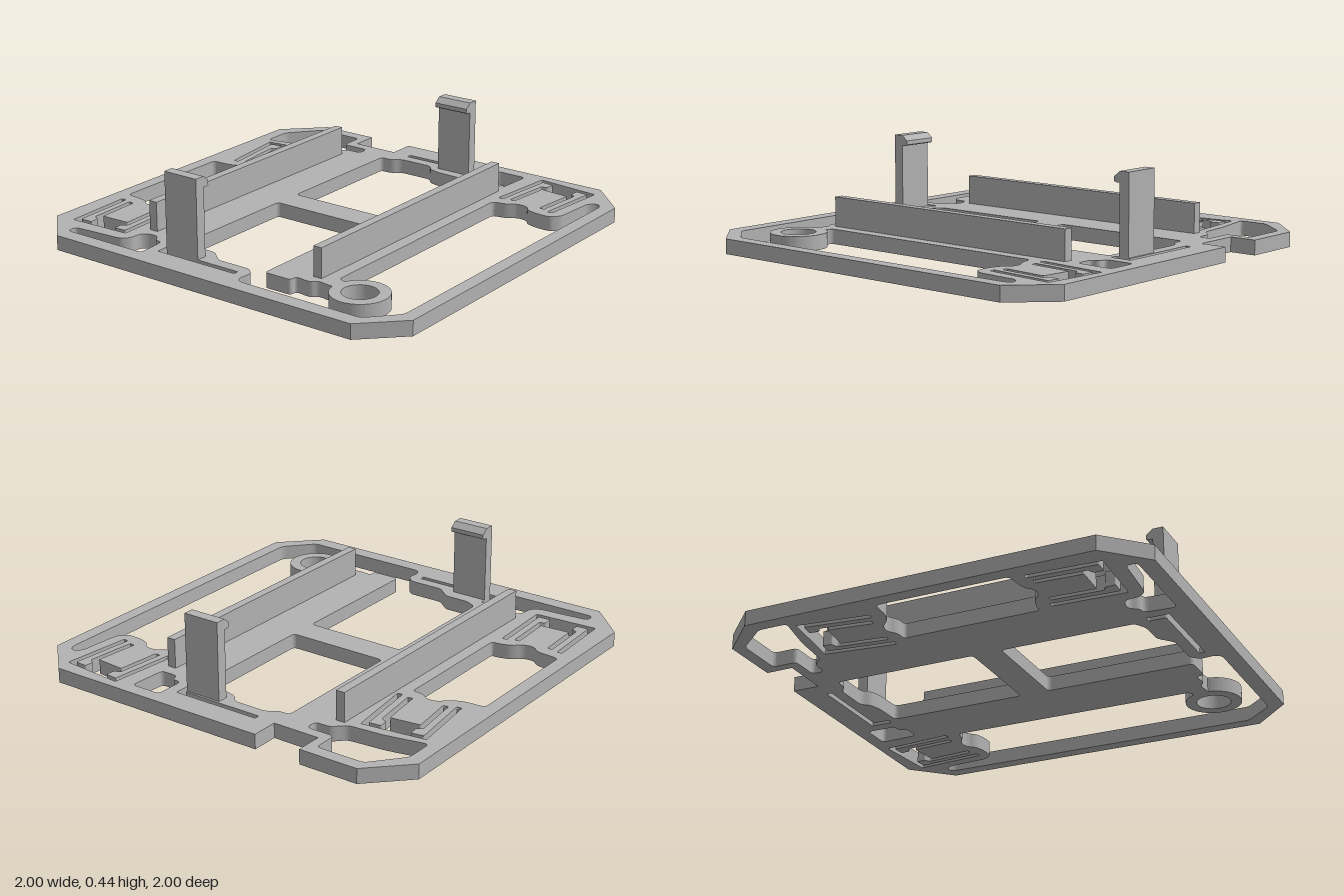
import * as THREE from 'three';

const T = 0.07; // plate thickness
const plastic = new THREE.MeshStandardMaterial({ color: 0xb2b2b2 });
plastic.name = 'grey plastic';

// Closed path with rounded corners; points are [x, z] in hundredths of a unit
function trace(points, radius, path = new THREE.Path()) {
  const p = points.map(([x, z]) => new THREE.Vector2(x / 100, z / 100));
  p.forEach((c, i) => {
    const toward = (q) => {
      const d = q.clone().sub(c);
      const len = d.length();
      return c.clone().addScaledVector(d, Math.min(radius, len * 0.45) / len);
    };
    const a = toward(p[(i + p.length - 1) % p.length]);
    const b = toward(p[(i + 1) % p.length]);
    if (i === 0) path.moveTo(a.x, a.y);
    else path.lineTo(a.x, a.y);
    if (radius > 0) path.quadraticCurveTo(c.x, c.y, b.x, b.y);
  });
  path.closePath();
  return path;
}

// Shape drawn in x/z, extruded to lie flat on the ground
function flat(shape, name, curveSegments = 4) {
  const g = new THREE.ExtrudeGeometry(shape, { depth: T, bevelEnabled: false, curveSegments });
  g.rotateX(Math.PI / 2).translate(0, T, 0);
  const mesh = new THREE.Mesh(g, plastic);
  mesh.name = name;
  return mesh;
}

// Spring clip: two hooked arms around a centre pad, with a wavy edge behind it.
// (x, z) is the middle of the open end, (dx, dz) points along the arms.
function clip(x, z, dx, dz) {
  const n = Math.hypot(dx, dz);
  const [c, s] = [dz / n, dx / n];
  const place = ([u, v]) => [x + u * c + v * s, z - u * s + v * c];
  const half = [
    [15.5, 0], [15.5, 34], [13, 34], [13, 2.5], [7, 2.5],
    [7, 7], [9.8, 8.5], [9.8, 32.5], [7.3, 32.5], [7.3, 11],
  ];
  const mirrored = half.map(([u, v]) => [-u, v]).reverse();
  const wave = [[-14, 40.5], [-8, 39], [-3, 35], [2, 35], [5, 38.5], [11, 39.5]];
  return {
    cutout: trace([...half, ...mirrored].map(place), 0.005),
    baseEdge: wave.map(place),
  };
}

// Spring slot beside the back latch; the front one is the same turned half round
const turned = ([x, z]) => [-10 - x, -1 - z];
const slot = [[-20.5, -88], [23, -88], [23, -77.5], [20, -77.5], [20, -85.5], [-20.5, -85.5]];

function buildPlate() {
  const plate = trace([
    [-100, -82], [-82, -100], [-53, -100], [-53, -87], [-30, -87], [-30, -100],
    [82, -100], [100, -82], [100, 82], [82, 100], [-82, 100], [-100, 82],
  ], 0, new THREE.Shape());
  const cut = (points, radius = 0.022) => plate.holes.push(trace(points, radius));

  const backRight = clip(-75, -64, 8, 64);
  const frontRight = clip(-75, 80, -3, -65);
  const backLeft = clip(67.5, -94, -6, 64);
  plate.holes.push(backRight.cutout, frontRight.cutout, backLeft.cutout);
  cut(slot, 0.005);
  cut(slot.map(turned), 0.005);

  // back right corner window
  cut([
    [-93.5, -79], [-81, -94], [-57.5, -94], [-57.5, -82], [-43.5, -82], [-43.5, -76],
    [-51, -76], [-56.5, -70.5], [-74, -69], [-93.5, -65],
  ]);
  // right side window between the two clips
  cut([
    [-93.5, -21.5], ...backRight.baseEdge, [-59.5, -22],
    [-59.5, 39], ...frontRight.baseEdge, [-93.5, 40.5],
  ]);
  // front right corner window
  cut([
    [-82.5, 87.5], [-57, 85.5], [-53.5, 82], [-53.5, 76], [-50, 73.5], [-45, 73.5],
    [-43, 77.5], [-39, 78], [-38, 92.5], [-82.5, 92.5],
  ]);
  // back centre window
  cut([
    [-30, -7.5], [20, -7.5], [20, -74], [6, -74.5], [0, -76], [-3, -80],
    [-20, -80], [-24, -76.5], [-30, -76.5],
  ]);
  // back left pocket
  cut([[28.5, -93.5], [43.5, -93.5], [42.5, -75], [34, -75], [33, -79], [28.5, -79]]);

  // front centre window, running round the free strut end and up the left side
  const strutEnd = [[20, 78], [34, 78], [34, 74], [42, 75], [45, 72], [50, 73]];
  const ringNeck = [[54.5, 73], [55, 66], [50, 65]];
  const leftFrame = [[82, -53.5], [85.5, -58], [87, -79], [91, -82], [93.5, -79], [93.5, 79], [81.5, 92.5]];
  const springEdge = [[17.5, 92.5], [15.5, 89], [16.5, 83], [12.5, 79], [-5, 79], [-12, 73], [-24, 73], [-30, 70]];
  cut([
    [-30, 6.5], [20, 6.5], ...strutEnd, ...ringNeck,
    ...backLeft.baseEdge, ...leftFrame, ...springEdge,
  ]);
  return flat(plate, 'basePlate');
}

// Upright latch whose hook points toward the centre; side is the sign of z
function latch(x, side, name) {
  const w = 0.18;
  const profile = trace([
    [84.5, 3], [84.5, 44], [79.5, 44], [76.5, 41.5], [76.5, 39.5], [77.5, 39], [79.5, 39], [79.5, 3],
  ], 0, new THREE.Shape());
  const g = new THREE.ExtrudeGeometry(profile, { depth: w, bevelEnabled: false });
  g.translate(0, 0, -w / 2).rotateY(-side * Math.PI / 2).translate(x, 0, 0);
  const mesh = new THREE.Mesh(g, plastic);
  mesh.name = name;
  return mesh;
}

export function createModel() {
  const model = new THREE.Group();
  model.name = 'mountingFrame';
  model.add(buildPlate());

  // screw ring on the front left
  const ring = new THREE.Shape().absarc(0.655, 0.712, 0.132, 0, Math.PI * 2);
  ring.holes.push(new THREE.Path().absarc(0.655, 0.712, 0.08, 0, Math.PI * 2));
  model.add(flat(ring, 'screwRing', 24));

  // long upright rails
  for (const [x, name] of [[-0.515, 'rightRail'], [0.417, 'leftRail']]) {
    const rail = new THREE.Mesh(new THREE.BoxGeometry(0.043, 0.17, 1.385), plastic);
    rail.position.set(x, 0.125, 0);
    rail.name = name;
    model.add(rail);
  }

  model.add(latch(-0.21, 1, 'frontLatch'), latch(0.11, -1, 'backLatch'));
  return model;
}
